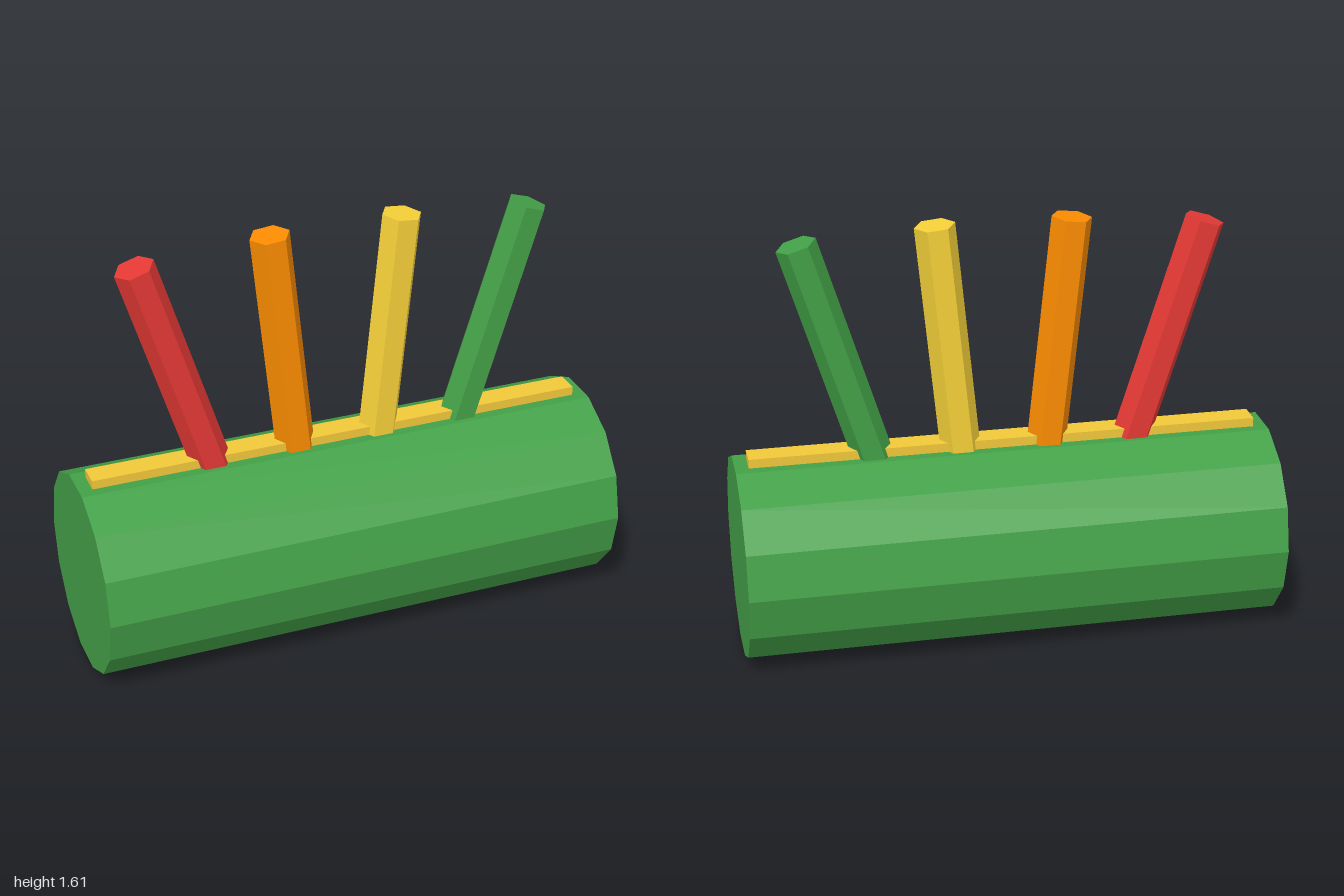
import * as THREE from 'three';

const GREEN = 0x43a047;
const YELLOW = 0xf5d038;

function addPart(parent, name, geometry, color) {
  const mesh = new THREE.Mesh(geometry, new THREE.MeshStandardMaterial({ color, flatShading: true }));
  mesh.name = name;
  parent.add(mesh);
  return mesh;
}

export function createModel() {
  const model = new THREE.Group();
  model.name = 'barrelWithSticks';

  // Fourteen-sided drum lying along x, resting on a flat side
  const radius = 0.38;
  const centreY = radius * Math.cos(Math.PI / 14);
  const drum = new THREE.CylinderGeometry(radius, radius, 2, 14);
  drum.rotateZ(Math.PI / 2);
  addPart(model, 'drum', drum, GREEN).position.y = centreY;

  // Thin strip along the top
  const strip = addPart(model, 'topStrip', new THREE.BoxGeometry(1.9, 0.06, 0.09), 0xf2c83a);
  strip.position.y = 0.745;

  // Hexagonal sticks fanning out, their feet sunk into the drum
  const stick = new THREE.CylinderGeometry(0.075, 0.075, 1, 6);
  stick.rotateY(Math.PI / 6);
  stick.translate(0, 0.5, 0);
  const sticks = [['red', 0xe53935], ['orange', 0xfb8c00], ['yellow', YELLOW], ['green', GREEN]];
  sticks.forEach(([name, color], i) => {
    const step = i - 1.5;
    const mesh = addPart(model, name + 'Stick', stick, color);
    mesh.position.set(step * 0.3, 0.607, 0);
    mesh.rotation.z = -step * 0.2;
  });

  return model;
}
